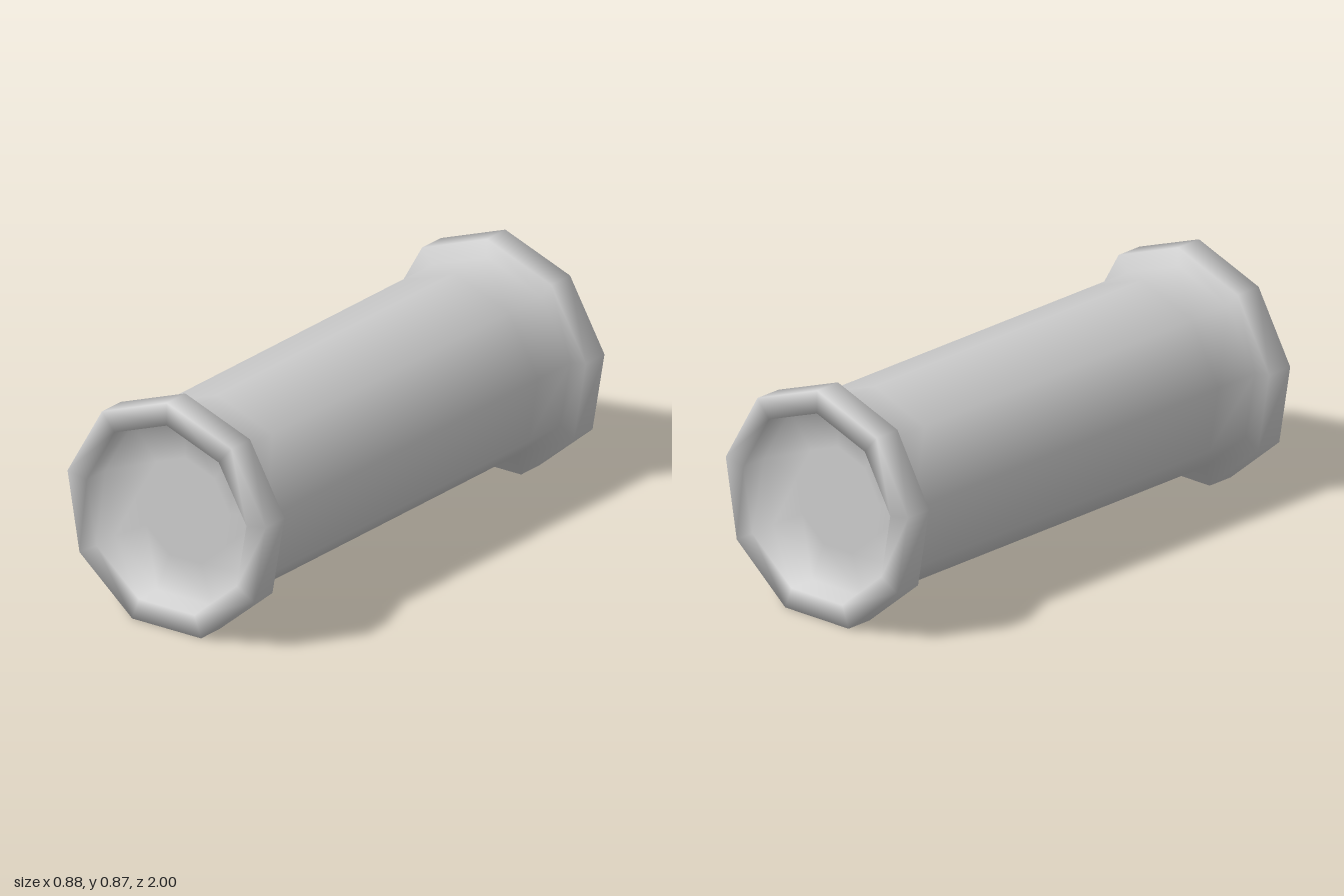
import * as THREE from 'three';

const SIDES = 9;
const FLANGE_R = 0.447;

export function createModel() {
  const group = new THREE.Group();
  group.name = 'flangedPipe';

  // Half profile as [radius, distance along the axis], from the middle of the recessed cap out to the body
  const half = [
    [0, 0.89], [0.2, 0.89], [0.36, 0.89],      // recessed cap
    [0.36, 1], [FLANGE_R, 1], [FLANGE_R, 0.89], // flange rim
    [0.377, 0.89], [0.377, 0.7],               // body
  ];
  const profile = [
    ...half.map(([r, d]) => new THREE.Vector2(r, -d)),
    ...half.slice().reverse().map(([r, d]) => new THREE.Vector2(r, d)),
  ];

  // Smooth nine-sided lathe laid along z, one corner pointing up
  const geometry = new THREE.LatheGeometry(profile, SIDES, Math.PI);
  geometry.rotateX(Math.PI / 2);

  const pipe = new THREE.Mesh(geometry, new THREE.MeshStandardMaterial({ color: 0xcccccc }));
  pipe.name = 'pipeWithEndFlanges';
  pipe.position.y = FLANGE_R * Math.cos(Math.PI / SIDES); // rest on a flat side
  group.add(pipe);
  return group;
}
